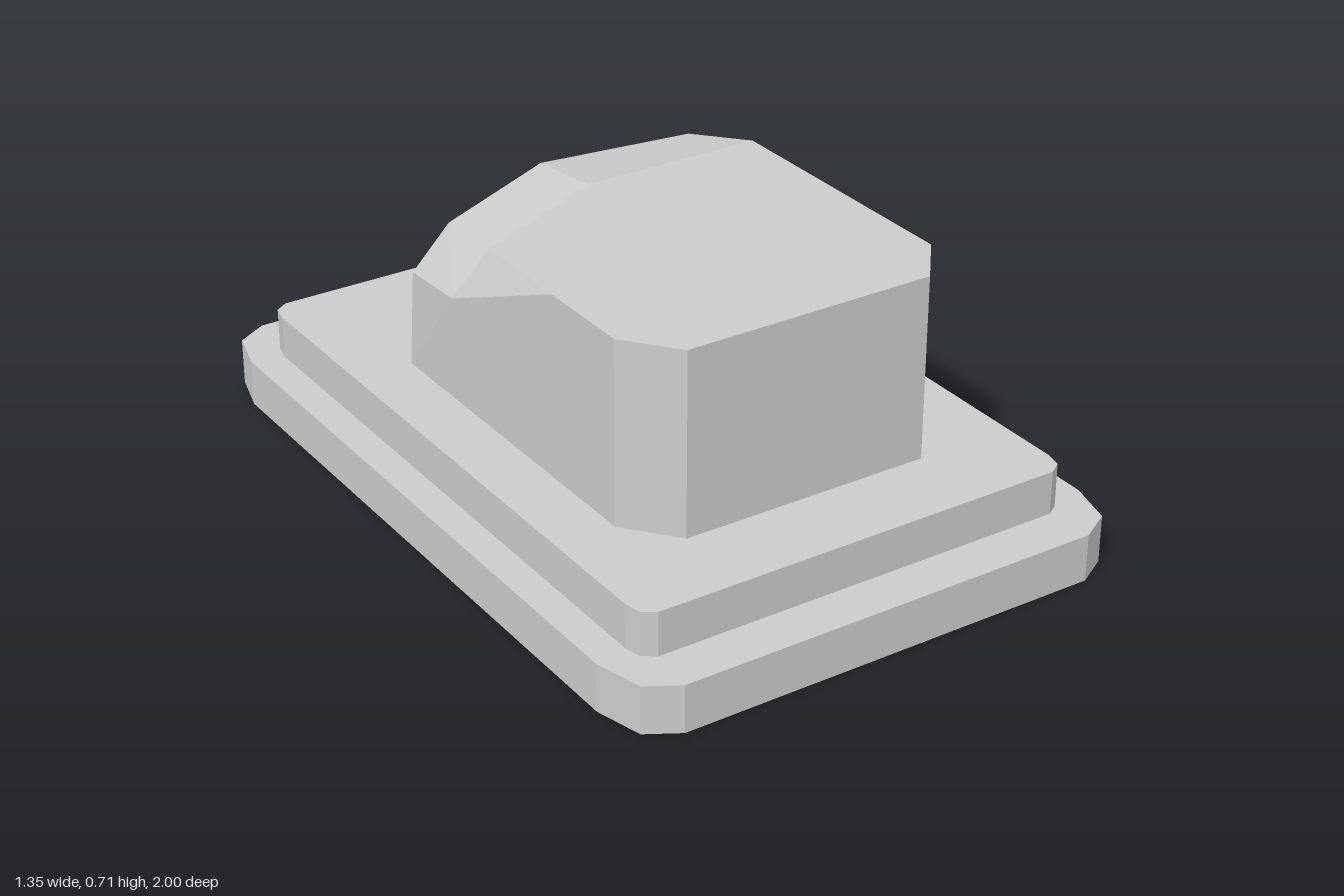
import * as THREE from 'three';

const material = new THREE.MeshStandardMaterial({ color: 0xcccccc, flatShading: true });

// Flat plate with faceted corners; corner lists [x, z] points of one quadrant
function plate(name, corner, y, height) {
  const back = [...corner].reverse();
  const outline = [
    ...corner,
    ...back.map(([x, z]) => [-x, z]),
    ...corner.map(([x, z]) => [-x, -z]),
    ...back.map(([x, z]) => [x, -z]),
  ].map(([x, z]) => new THREE.Vector2(x, z));
  const geometry = new THREE.ExtrudeGeometry(new THREE.Shape(outline), { depth: height, bevelEnabled: false });
  geometry.rotateX(-Math.PI / 2).translate(0, y, 0);
  const mesh = new THREE.Mesh(geometry, material);
  mesh.name = name;
  return mesh;
}

// Solid from named corner points and convex faces, each face split as a fan
function facetedSolid(name, points, faces) {
  const positions = [];
  for (const face of faces) {
    const p = face.split(' ').map((key) => points[key]);
    for (let i = 1; i < p.length - 1; i++) positions.push(...p[0], ...p[i], ...p[i + 1]);
  }
  const geometry = new THREE.BufferGeometry();
  geometry.setAttribute('position', new THREE.Float32BufferAttribute(positions, 3));
  geometry.computeVertexNormals();
  const mesh = new THREE.Mesh(geometry, material);
  mesh.name = name;
  return mesh;
}

function createBlock() {
  const low = 0.235, top = 0.71;
  const points = {
    // back corners at the foot
    backL: [-0.435, low, -0.41], backR: [0.435, low, -0.41],
    // sloping back edge of the roof, from +x to -x
    e0: [0.39, 0.66, -0.41], e1: [-0.05, 0.685, -0.41],
    e2: [-0.315, 0.59, -0.41], e3: [-0.42, 0.483, -0.41],
    // fold line across the roof
    f0: [0.435, top, -0.19], f1: [-0.05, top, -0.19],
    f2: [-0.33, 0.61, -0.19], f3: [-0.435, 0.507, -0.19],
    // tip of the worn corner on the -x side
    tip: [-0.435, top, 0.27],
  };
  // chamfered front, foot (a) and top (t)
  [[-0.435, 0.53], [-0.33, 0.66], [0.33, 0.66], [0.435, 0.53]].forEach(([x, z], i) => {
    points['a' + i] = [x, low, z];
    points['t' + i] = [x, top, z];
  });
  const faces = [
    'f0 f1 tip t0 t1 t2 t3',       // flat top
    'e0 e1 f1 f0', 'e1 e2 f2 f1', 'e2 e3 f3 f2', // back slope
    'tip f1 f2', 'tip f2 f3',      // cut corner
    'backL a0 t0 tip f3', 'backL f3 e3', // -x side
    'a3 backR f0 t3', 'backR e0 f0',     // +x side
    'backR backL e3 e2 e1 e0',     // back
    'backL backR a3 a2 a1 a0',     // underside
  ];
  for (let i = 0; i < 3; i++) faces.push(`a${i} a${i + 1} t${i + 1} t${i}`);
  return facetedSolid('upperBlock', points, faces);
}

export function createModel() {
  const model = new THREE.Group();
  model.name = 'steppedPedestal';
  model.add(
    plate('basePlate', [[0.675, 0.83], [0.642, 0.952], [0.56, 1]], 0, 0.123),
    plate('middlePlate', [[0.59, 0.81], [0.58, 0.855], [0.547, 0.877]], 0.123, 0.113),
    createBlock(),
  );
  return model;
}
